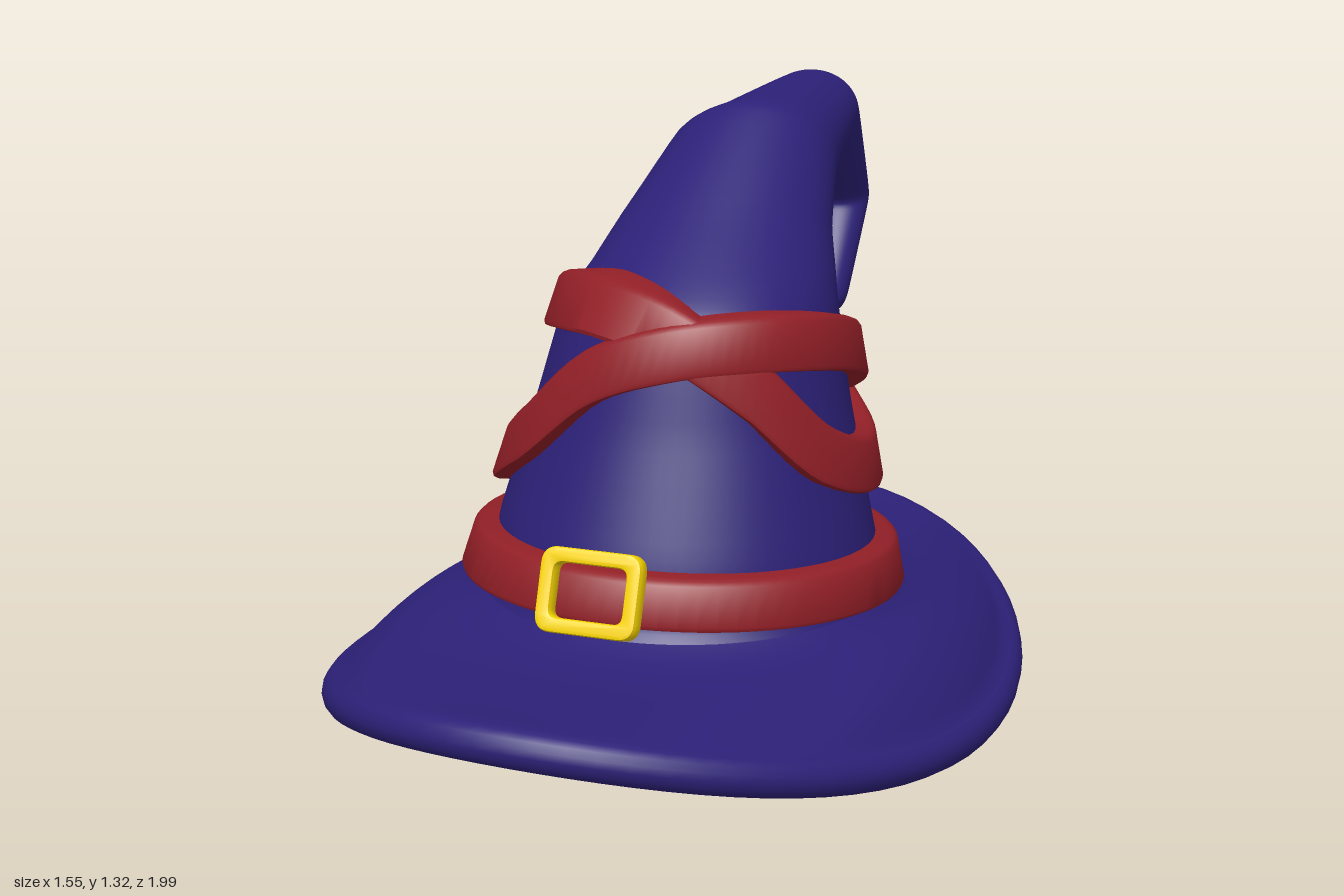
import * as THREE from 'three';
import { toCreasedNormals } from 'three/addons/utils/BufferGeometryUtils.js';

const SEG = 72;
const { lerp } = THREE.MathUtils;
const V = (x, y, z) => new THREE.Vector3(x, y, z);

// Skin a stack of closed rings; point(i, angle) gives a vertex of ring i
function loft(count, point) {
  const pos = [], index = [];
  for (let i = 0; i < count; i++) {
    for (let j = 0; j < SEG; j++) {
      const p = point(i, (j / SEG) * Math.PI * 2);
      pos.push(p.x, p.y, p.z);
      if (i === count - 1) continue;
      const a = i * SEG + j, b = i * SEG + (j + 1) % SEG;
      index.push(a, a + SEG, b, b, a + SEG, b + SEG);
    }
  }
  const g = new THREE.BufferGeometry();
  g.setAttribute('position', new THREE.Float32BufferAttribute(pos, 3));
  g.setIndex(index);
  g.computeVertexNormals();
  return g;
}

// Lower crown as a slanted cone, used to wrap the straps and shape the lining
function crownPoint(y, a, offset) {
  const h = y - 0.45, lean = 6 * Math.max(0, y - 0.93) ** 2;
  return V(
    0.01 + 0.05 * h + (0.42 - 0.255 * h + offset) * Math.cos(a), y,
    0.02 - 0.155 * h - lean + (0.41 - 0.17 * h + offset) * Math.sin(a));
}

// Crown sections: [centre x, half width, outer y, outer z, inner y, inner z]
const SECTIONS = [
  [0.01, 0.475, 0.255, 0.5, 0.255, -0.45],
  [0.01, 0.45, 0.31, 0.465, 0.31, -0.415],
  [0.01, 0.42, 0.45, 0.43, 0.45, -0.39],
  [0.02, 0.355, 0.7, 0.345, 0.7, -0.37],
  [0.03, 0.308, 0.935, 0.277, 0.88, -0.39],
  [0.045, 0.275, 1.01, 0.185, 0.96, -0.42],
  [0.055, 0.242, 1.125, 0.0, 0.995, -0.445],
  [0.085, 0.195, 1.305, -0.29, 1.035, -0.51],
  [0.115, 0.165, 1.32, -0.38, 1.075, -0.59],
  [0.16, 0.12, 1.32, -0.71, 1.125, -0.68],
  [0.17, 0.11, 1.3, -0.775, 1.12, -0.72],
  [0.2, 0.08, 1.01, -0.985, 0.975, -0.86],
  [0.205, 0.072, 0.95, -0.99, 0.94, -0.86],
  [0.205, 0.045, 0.73, -0.855, 0.79, -0.775],
  [0.2, 0.04, 0.7, -0.815, 0.767, -0.745],
  [0.185, 0.03, 0.715, -0.715, 0.757, -0.695],
  [0.155, 0.015, 0.76, -0.622, 0.782, -0.638],
  [0.125, 0.002, 0.865, -0.575, 0.865, -0.578],
];

function crownGeometry() {
  const curve = f => new THREE.CatmullRomCurve3(SECTIONS.map(f), false, 'catmullrom', 0.25);
  const outer = curve(s => V(s[0], s[2], s[3])), inner = curve(s => V(s[1], s[4], s[5]));
  const n = (SECTIONS.length - 1) * 5 + 1;
  const rings = Array.from({ length: n }, (_, i) => [outer.getPoint(i / (n - 1)), inner.getPoint(i / (n - 1))]);
  return loft(n, (i, a) => {
    const [o, q] = rings[i], s = (1 + Math.sin(a)) / 2;
    return V(o.x + q.x * Math.cos(a), lerp(q.y, o.y, s), lerp(q.z, o.z, s));
  });
}

// Saddle-shaped oval brim, turned a little about y:
// lining down, underside outwards, round lip, top inwards
function brimGeometry() {
  const lip = 0.045, steps = 16, turn = 0.227, profile = [];
  const ct = Math.cos(turn), st = Math.sin(turn);
  for (let y = 0.8; y > 0.27; y -= 0.05) profile.push({ y });
  for (let k = 0; k <= steps; k++) profile.push({ s: k / steps, t: -Math.PI / 2 });
  for (let k = 1; k < 8; k++) profile.push({ s: 1, t: -Math.PI / 2 + (k / 8) * Math.PI });
  for (let k = steps; k >= 0; k--) profile.push({ s: k / steps, t: Math.PI / 2 });
  return loft(profile.length, (i, a) => {
    const { y, s, t } = profile[i];
    if (y) return crownPoint(y, a, -0.065);
    const c = Math.cos(a - turn), n = Math.sin(a - turn);
    const out = lip * Math.cos(t), up = Math.sin(t);
    const u = (0.72 + out) * c, v = (0.905 + out) * n;
    const r = 0.44 + 0.025 * up;
    return V(
      lerp(0.01 + r * Math.cos(a), u * ct - v * st, s),
      lerp(0.2, 0.215 - 0.17 * c * c, s ** 2.7) + 0.04 * (1 - s) ** 6 + lip * up,
      lerp(0.025 + r * Math.sin(a), 0.05 + u * st + v * ct, s));
  });
}

// Strap wrapped round the crown along height(angle)
function strapGeometry(height, half, thick) {
  const section = [[-1, -0.04], [-1, thick * 0.6], [-0.93, thick * 0.88], [-0.78, thick],
    [0.78, thick], [0.93, thick * 0.88], [1, thick * 0.6], [1, -0.04]];
  const g = loft(section.length, (i, a) => {
    const slope = (height(a + 0.02) - height(a - 0.02)) / 0.04 / 0.38;
    const h = half * Math.sqrt(1 + slope * slope);
    return crownPoint(height(a) + section[i][0] * h, a, section[i][1]);
  });
  return toCreasedNormals(g, 0.7);
}

// Smooth periodic height through values spaced evenly around the crown
function heightAround(values) {
  const curve = new THREE.CatmullRomCurve3(values.map((y, i) => V(i, y, 0)), true, 'catmullrom', 0.5);
  return a => curve.getPoint((a / (Math.PI * 2) + 1) % 1).y;
}

function roundedRect(target, w, h, r) {
  const x = w / 2, y = h / 2;
  target.moveTo(-x + r, -y);
  target.lineTo(x - r, -y).quadraticCurveTo(x, -y, x, -y + r);
  target.lineTo(x, y - r).quadraticCurveTo(x, y, x - r, y);
  target.lineTo(-x + r, y).quadraticCurveTo(-x, y, -x, y - r);
  target.lineTo(-x, -y + r).quadraticCurveTo(-x, -y, -x + r, -y);
  return target;
}

function buckleGeometry() {
  const shape = roundedRect(new THREE.Shape(), 0.22, 0.17, 0.03);
  shape.holes.push(roundedRect(new THREE.Path(), 0.186, 0.136, 0.03));
  const g = new THREE.ExtrudeGeometry(shape, {
    depth: 0.03, bevelEnabled: true, bevelThickness: 0.007, bevelSize: 0.008, bevelSegments: 2, curveSegments: 6 });
  return toCreasedNormals(g.translate(0, 0, -0.015), 0.6);
}

export function createModel() {
  const hat = new THREE.Group();
  hat.name = 'pointedHat';
  const cloth = new THREE.MeshStandardMaterial({ color: 0x2c2077, side: THREE.DoubleSide });
  const strap = new THREE.MeshStandardMaterial({ color: 0x921f27 });
  const metal = new THREE.MeshStandardMaterial({ color: 0xf8d400 });
  const add = (name, geometry, material) => {
    const mesh = new THREE.Mesh(geometry, material);
    mesh.name = name;
    hat.add(mesh);
    return mesh;
  };

  add('crown', crownGeometry(), cloth);
  add('brim', brimGeometry(), cloth);
  add('belt', strapGeometry(a => 0.353 + 0.024 * Math.sin(a) - 0.01 * Math.cos(a), 0.055, 0.05), strap);

  // Two slanted straps that cross at the front and at the back left
  add('strapLowLeft', strapGeometry(heightAround(
    [0.575, 0.64, 0.81, 0.92, 0.955, 0.94, 0.9, 0.855, 0.81, 0.78, 0.73, 0.605]), 0.06, 0.04), strap);
  add('strapLowRight', strapGeometry(heightAround(
    [0.83, 0.88, 0.9, 0.885, 0.815, 0.65, 0.545, 0.515, 0.515, 0.56, 0.65, 0.75]), 0.06, 0.045), strap);

  const buckle = add('buckle', buckleGeometry(), metal);
  buckle.position.set(-0.1, 0.395, 0.502);
  buckle.rotation.set(-0.36, -0.2, 0.02, 'YXZ');
  return hat;
}
